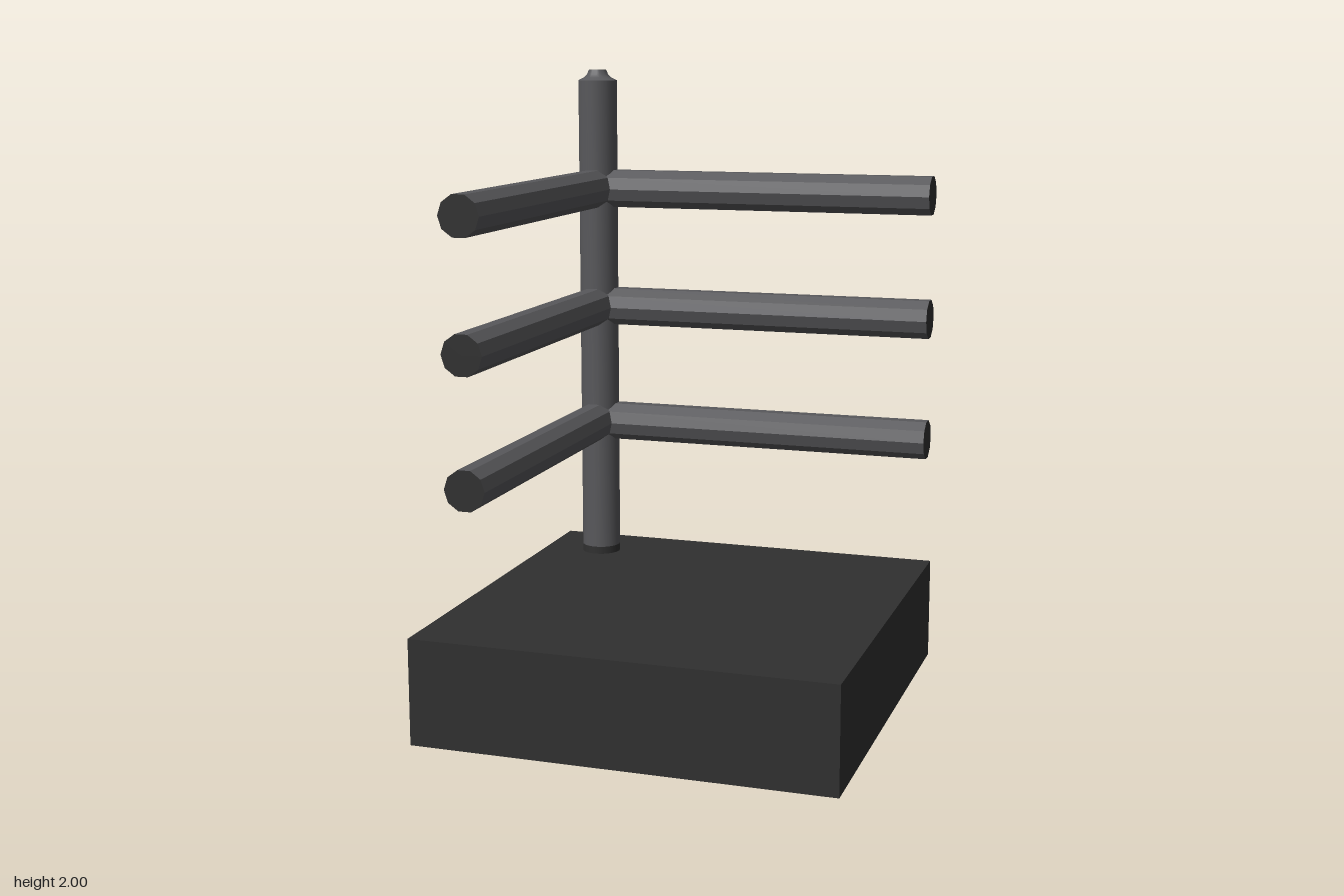
import * as THREE from 'three';
import { toCreasedNormals } from 'three/addons/utils/BufferGeometryUtils.js';

const mat = (name, color) => new THREE.MeshStandardMaterial({ name, color });

export function createModel() {
  const group = new THREE.Group();
  const charcoal = mat('charcoal', 0x303030);
  const steel = mat('steelGrey', 0x58585b);
  const green = mat('sageGreen', 0x5f8070);

  const add = (name, geometry, material, x, y, z) => {
    const mesh = new THREE.Mesh(geometry, material);
    mesh.name = name;
    mesh.position.set(x, y, z);
    group.add(mesh);
    return mesh;
  };

  const postX = -0.475, postZ = -0.465, radius = 0.065;
  const baseTop = 0.335;

  // Base block: green on the two outer sides next to the post
  add('base', new THREE.BoxGeometry(1.328, baseTop, 1.332),
    [charcoal, green, charcoal, charcoal, charcoal, green], -0.008, baseTop / 2, 0);

  // Post with a dark foot and a concave, stepped tip
  add('postFoot', new THREE.CylinderGeometry(radius, radius, 0.025, 24), charcoal,
    postX, baseTop + 0.0125, postZ);
  const profile = [[radius, 0.36], [radius, 1.965], [0.046, 1.974], [0.036, 1.984], [0.029, 2], [0, 2]]
    .map(([r, y]) => new THREE.Vector2(r, y));
  add('post', toCreasedNormals(new THREE.LatheGeometry(profile, 24), 0.5), steel, postX, 0, postZ);

  // Ten-sided arms with dark ends, flat side up, three pairs at right angles
  const armGeometry = (length) => {
    const g = new THREE.CylinderGeometry(radius, radius, length, 10);
    g.translate(0, length / 2, 0);
    g.rotateX(Math.PI / 2); // runs along +z
    g.rotateZ(Math.PI / 2); // flat facets at top and bottom
    return toCreasedNormals(g, 0.3);
  };
  const armMaterials = [steel, charcoal, charcoal];
  const frontArm = armGeometry(0.667 - postZ);
  const sideArm = armGeometry(0.672 - postX).rotateY(Math.PI / 2);
  for (const y of [0.803, 1.203, 1.604]) {
    add('frontArm', frontArm, armMaterials, postX, y, postZ);
    add('sideArm', sideArm, armMaterials, postX, y, postZ);
  }
  return group;
}
